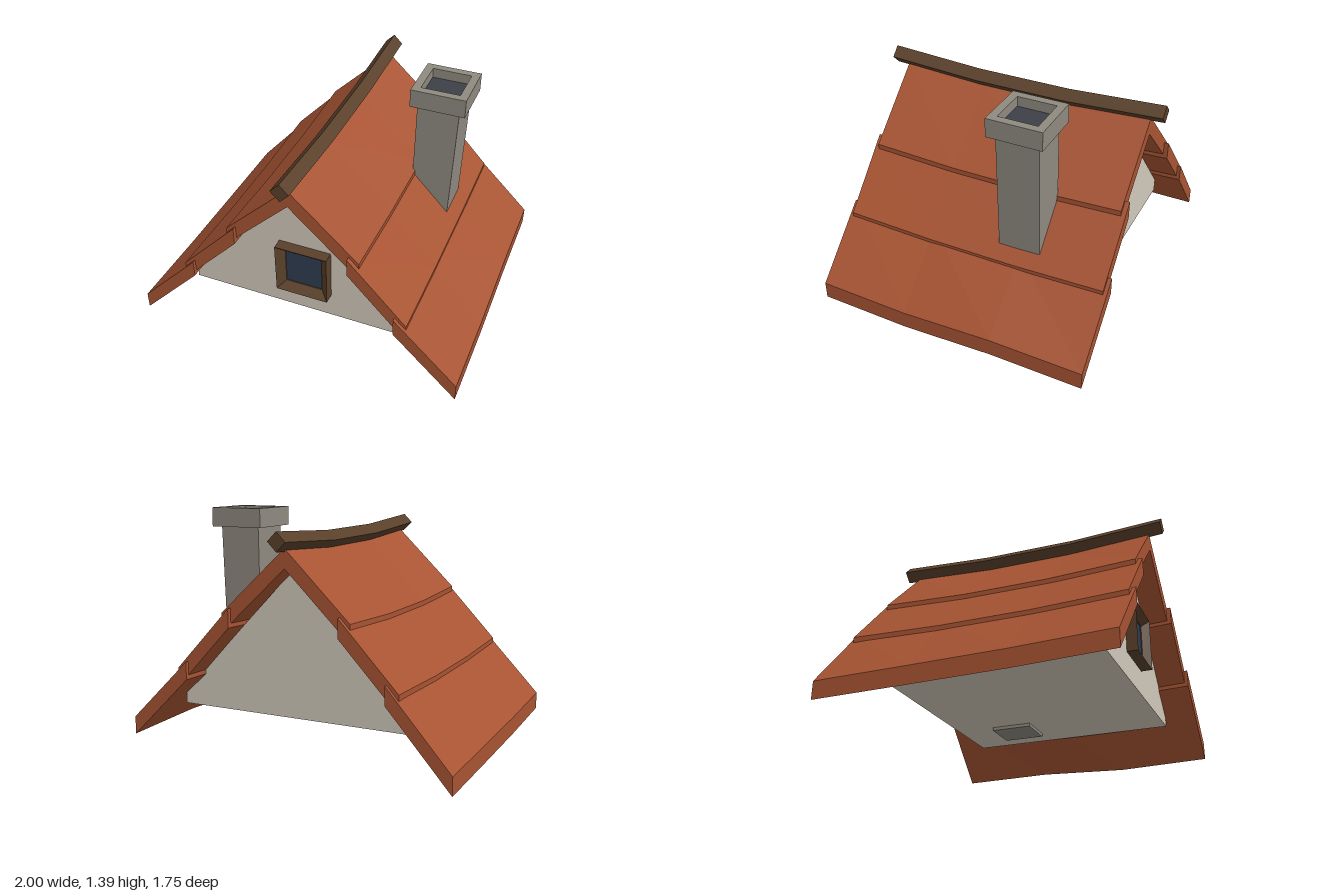
import * as THREE from 'three';

const mat = (color) => new THREE.MeshStandardMaterial({ color, flatShading: true });
const tile = mat(0xa85433), plaster = mat(0xd2cabb), wood = mat(0x5a402a);
const stone = mat(0x8f8a80), glassMat = mat(0x2f3d50), soot = mat(0x3c4046);
const RIDGE_X = -0.015;

// Closed solid through rings of [x, y, z], counter-clockwise seen from +z, listed front to back
function loft(rings) {
  const pos = [], n = rings[0].length;
  const tri = (...p) => p.forEach((v) => pos.push(...v));
  for (let k = 0; k < rings.length - 1; k++) {
    const a = rings[k], b = rings[k + 1];
    for (let i = 0; i < n; i++) {
      const j = (i + 1) % n;
      tri(a[i], b[i], a[j]);
      tri(a[j], b[i], b[j]);
    }
  }
  const front = rings[0], back = rings[rings.length - 1];
  for (let i = 1; i < n - 1; i++) {
    tri(front[0], front[i], front[i + 1]);
    tri(back[0], back[i + 1], back[i]);
  }
  const g = new THREE.BufferGeometry();
  g.setAttribute('position', new THREE.Float32BufferAttribute(pos, 3));
  g.computeVertexNormals();
  return g;
}

// Square-sided turned shape: profile of [half width, height]
function squareLathe(profile) {
  const pts = profile.map(([r, y]) => new THREE.Vector2(r * Math.SQRT2, y));
  return new THREE.LatheGeometry(pts, 4, Math.PI / 4);
}

// Four evenly spaced stations along the roof, front to back
const stations = (half) => [half, half / 3, -half / 3, -half];

// One sagging course of roofing; up and low are [x, four heights of the top face]
function roofCourse(half, up, low, t) {
  return loft(stations(half).map((z, k) => {
    const ring = [
      [low[0], low[1][k] - t, z], [up[0], up[1][k] - t, z],
      [up[0], up[1][k], z], [low[0], low[1][k], z],
    ];
    return low[0] < up[0] ? ring : ring.reverse();
  }));
}

export function createModel() {
  const model = new THREE.Group();
  const add = (name, geo, material, parent = model) => {
    const m = new THREE.Mesh(geo, material);
    m.name = name;
    parent.add(m);
    return m;
  };
  const sag = (y, d) => [y, y - d, y - d, y];

  // Attic body with gable ends
  const gable = [[-0.73, 0.225], [0.76, 0.225], [0.76, 0.305], [RIDGE_X, 1.1], [-0.73, 0.305]];
  add('atticWalls', loft([0.65, -0.65].map((z) => gable.map(([x, y]) => [x, y, z]))), plaster);

  // Three overlapping courses on each slope
  const eaveHeights = { left: [0.135, 0.118, 0.112, 0.108], right: [0.158, 0.142, 0.166, 0.158] };
  for (const [side, s, shift] of [['left', -1, RIDGE_X], ['right', 1, 0.005]]) {
    const roof = new THREE.Group();
    roof.name = s < 0 ? 'rightRoofSlope' : 'leftRoofSlope';
    model.add(roof);
    const at = (x) => s * x + shift;
    add('upperCourse', roofCourse(0.793, [RIDGE_X, sag(1.205, 0.03)], [at(0.39), sag(0.825, 0.023)], 0.11), tile, roof);
    add('middleCourse', roofCourse(0.82, [at(0.33), sag(0.858, 0.024)], [at(0.68), sag(0.487, 0.018)], 0.11), tile, roof);
    add('lowerCourse', roofCourse(0.842, [at(0.61), sag(0.532, 0.018)], [s, eaveHeights[side]], 0.106), tile, roof);
  }

  // Sagging ridge beam, a square set on its corner
  const h = 0.055;
  add('ridgeBeam', loft(stations(0.876).map((z, k) => {
    const y = sag(1.245, 0.032)[k];
    return [[RIDGE_X, y - h, z], [RIDGE_X + h, y, z], [RIDGE_X, y + h, z], [RIDGE_X - h, y, z]];
  })), wood);

  // Gable window with an inward sloping frame
  const gableWindow = new THREE.Group();
  gableWindow.name = 'gableWindow';
  gableWindow.position.set(0.01, 0.545, 0.63);
  model.add(gableWindow);
  add('windowFrame', squareLathe([[0.16, 0], [0.16, 0.088], [0.113, 0.045], [0.113, 0.03]]), wood, gableWindow)
    .rotation.x = Math.PI / 2;
  add('windowPane', new THREE.BoxGeometry(0.228, 0.228, 0.02), glassMat, gableWindow).position.z = 0.029;

  // Slightly leaning chimney
  const shaft = new THREE.BoxGeometry(0.255, 1.1, 0.256);
  const p = shaft.attributes.position;
  for (let i = 0; i < p.count; i++) {
    const top = p.getY(i) > 0;
    p.setX(i, p.getX(i) * (top ? 1 : 0.91) + (top ? 0.513 : 0.49));
  }
  add('chimneyShaft', shaft, stone).position.set(0, 0.755, -0.28);

  // Hollow chimney cap and its sooty flue
  const cap = squareLathe([[0, 1.277], [0.166, 1.277], [0.166, 1.39], [0.118, 1.39], [0.118, 1.32]]);
  add('chimneyCap', cap, stone).position.set(0.515, 0, -0.28);
  add('flue', new THREE.BoxGeometry(0.238, 0.02, 0.238), soot).position.set(0.515, 1.32, -0.28);

  return model;
}
